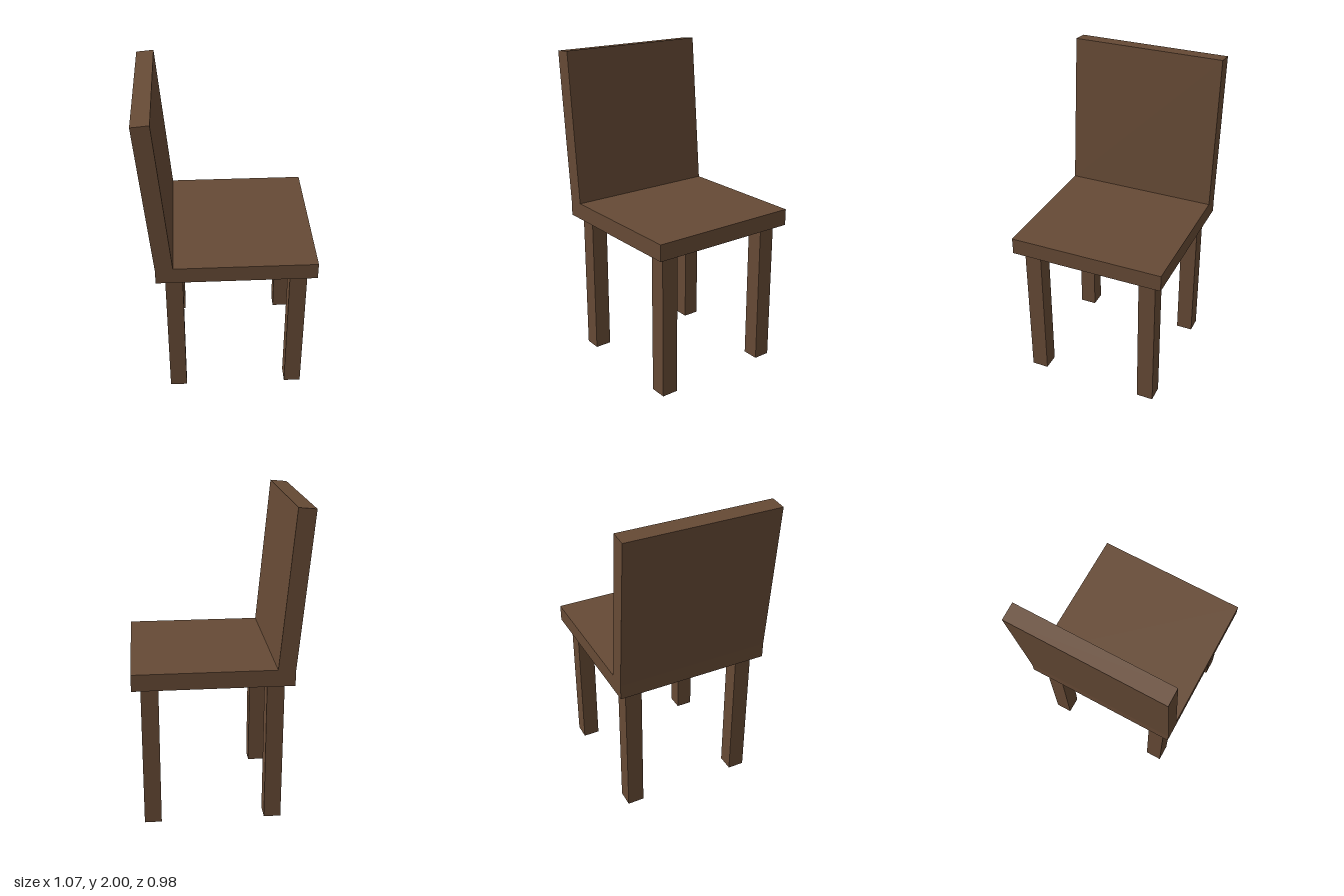
import * as THREE from 'three';

export function createModel() {
  const chair = new THREE.Group();
  chair.name = 'chair';
  const wood = new THREE.MeshStandardMaterial({ color: 0x664a35 });

  // Seat and leaning back, one L-shaped side profile swept across the width
  const width = 0.98;
  const profile = new THREE.Shape([
    [-0.45, 0.93], [0.53, 0.93], [0.53, 1.035], [-0.343, 1.035],
    [-0.428, 2], [-0.535, 1.99], [-0.45, 1.025],
  ].map(([x, y]) => new THREE.Vector2(x, y)));
  const bodyGeometry = new THREE.ExtrudeGeometry(profile, { depth: width, bevelEnabled: false });
  bodyGeometry.translate(0, 0, -width / 2);
  const body = new THREE.Mesh(bodyGeometry, wood);
  body.name = 'seatAndBack';
  chair.add(body);

  // Four square legs
  const legHeight = 0.93;
  const legGeometry = new THREE.BoxGeometry(0.107, legHeight, 0.107);
  for (const [xName, x] of [['back', -0.341], ['front', 0.422]]) {
    for (const [zName, z] of [['Left', -0.383], ['Right', 0.383]]) {
      const leg = new THREE.Mesh(legGeometry, wood);
      leg.name = `${xName}${zName}Leg`;
      leg.position.set(x, legHeight / 2, z);
      chair.add(leg);
    }
  }
  return chair;
}
